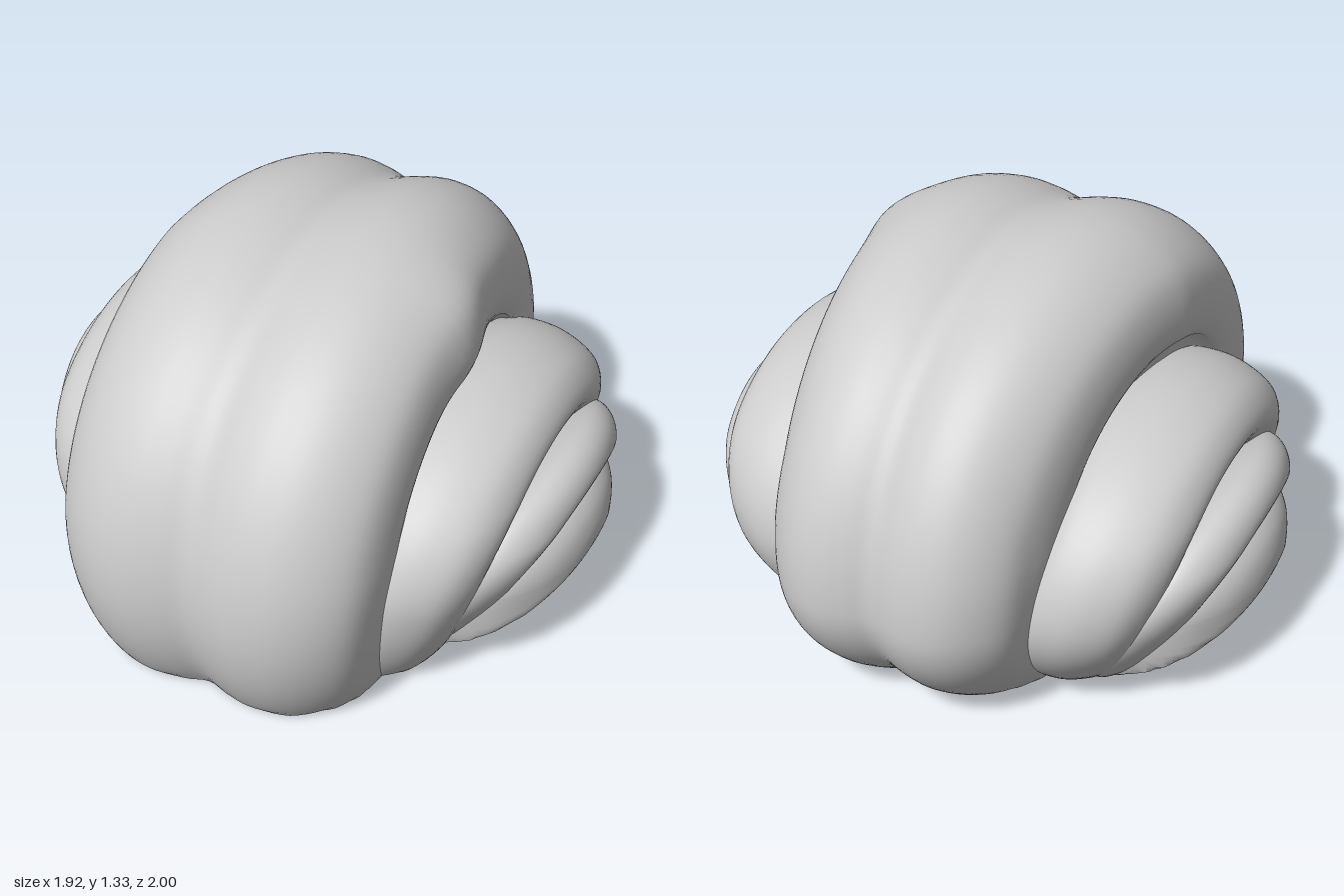
import * as THREE from 'three';
import { toCreasedNormals } from 'three/addons/utils/BufferGeometryUtils.js';

const SEGMENTS = 120;

// Sweeps a profile of [x, radius fraction] points around a sideways oval and flattens it at the floor.
// o: centre zc, yc; radii rz, top, lowFront, lowBack; shape(x, y, z) bends the x position.
function fold(points, o, mirror = 1) {
  const profile = new THREE.SplineCurve(points.map(p => new THREE.Vector2(...p))).getPoints(points.length * 4);
  const pos = [], index = [];
  profile.forEach((p, i) => {
    const f = Math.max(p.y, 0.005);
    for (let j = 0; j < SEGMENTS; j++) {
      const a = j / SEGMENTS * Math.PI * 2, s = Math.sin(a), c = Math.cos(a);
      const low = THREE.MathUtils.lerp(o.lowBack, o.lowFront, (s + 1) / 2);
      const z = o.zc + o.rz * f * s;
      const y = Math.max(0, o.yc + (c > 0 ? o.top : low) * f * c);
      pos.push(mirror * o.shape(p.x, y, z), y, z);
      if (i < profile.length - 1) {
        const k = (j + 1) % SEGMENTS, p0 = i * SEGMENTS + j, p1 = i * SEGMENTS + k;
        const q0 = p0 + SEGMENTS, q1 = p1 + SEGMENTS;
        if (mirror > 0) index.push(p0, p1, q0, p1, q1, q0);
        else index.push(p0, q0, p1, p1, q0, q1);
      }
    }
  });
  const geo = new THREE.BufferGeometry();
  geo.setAttribute('position', new THREE.Float32BufferAttribute(pos, 3));
  geo.setIndex(index);
  return toCreasedNormals(geo, 0.8);
}

// Side folds lean inward near the floor, bow inward towards front and back,
// and stay above a shared rounded underside.
const lean = (k, height, bow) => (x, y, z) => {
  const bend = bow * (z + 0.07) ** 2;
  const underside = 0.585 + 0.375 * Math.sin(Math.min(1, y / 0.32) * Math.PI / 2);
  const leaning = x * (1 - k * Math.pow(1 - Math.min(1, y / height), 1.5));
  return Math.min(leaning, underside) - bend;
};

export function createModel() {
  const group = new THREE.Group();
  const dough = new THREE.MeshStandardMaterial({ color: 0xcccccc });
  const add = (name, geo) => {
    const mesh = new THREE.Mesh(geo, dough);
    mesh.name = name;
    group.add(mesh);
  };

  // Wide middle fold: tapers to the back, with a flap end bulging on the left
  const half = [[0.1, 0.988], [0.2, 1], [0.32, 0.98], [0.43, 0.92], [0.51, 0.83], [0.542, 0.7], [0.53, 0.6], [0.47, 0.52], [0.44, 0]];
  const middle = [...half.map(([x, f]) => [-x, f]).reverse(), [0, 0.965], ...half];
  add('middleFold', fold(middle, {
    zc: 0, yc: 0.42, rz: 1, top: 0.912, lowFront: 0.88, lowBack: 0.56,
    shape: (x, y, z) => {
      const taper = 1 - 0.19 * THREE.MathUtils.clamp((0.15 - z) / 0.9, 0, 1);
      const foot = 1 - 0.1 * Math.pow(1 - Math.min(1, y / 0.6), 1.5);
      const flap = 0.025 * THREE.MathUtils.smoothstep(x, 0.3, 0.5) * THREE.MathUtils.smoothstep(y, 0.75, 1)
        * Math.exp(-(((z - 0.08) / 0.14) ** 2));
      return x * taper * foot + flap;
    },
  }));

  for (const side of [1, -1]) {
    const label = side > 0 ? 'left' : 'right';

    // Second fold
    add(label + 'SideFold', fold(
      [[0.36, 0], [0.4, 0.85], [0.47, 0.98], [0.56, 1], [0.66, 0.97], [0.76, 0.88], [0.812, 0.72], [0.785, 0.58], [0.72, 0.4], [0.68, 0]],
      { zc: -0.03, yc: 0.37, rz: 0.71, top: 0.515, lowFront: 0.78, lowBack: 0.45, shape: lean(0.25, 0.65, 0.06) }, side));

    // Narrow third fold
    add(label + 'OuterFold', fold(
      [[0.58, 0], [0.66, 0.75], [0.77, 0.93], [0.85, 1], [0.91, 0.92], [0.937, 0.74], [0.91, 0.58], [0.86, 0.45], [0.82, 0]],
      { zc: -0.04, yc: 0.3, rz: 0.56, top: 0.35, lowFront: 0.55, lowBack: 0.42, shape: lean(0.3, 0.5, 0.42) }, side));

    // Rounded end, undercut towards the floor
    add(label + 'End', fold(
      [[0.5, 0], [0.6, 0.9], [0.76, 1], [0.87, 0.9], [0.93, 0.65], [0.957, 0.3], [0.96, 0]],
      { zc: -0.04, yc: 0.31, rz: 0.47, top: 0.19, lowFront: 0.6, lowBack: 0.55, shape: lean(0, 1, 0.4) }, side));
  }
  return group;
}
